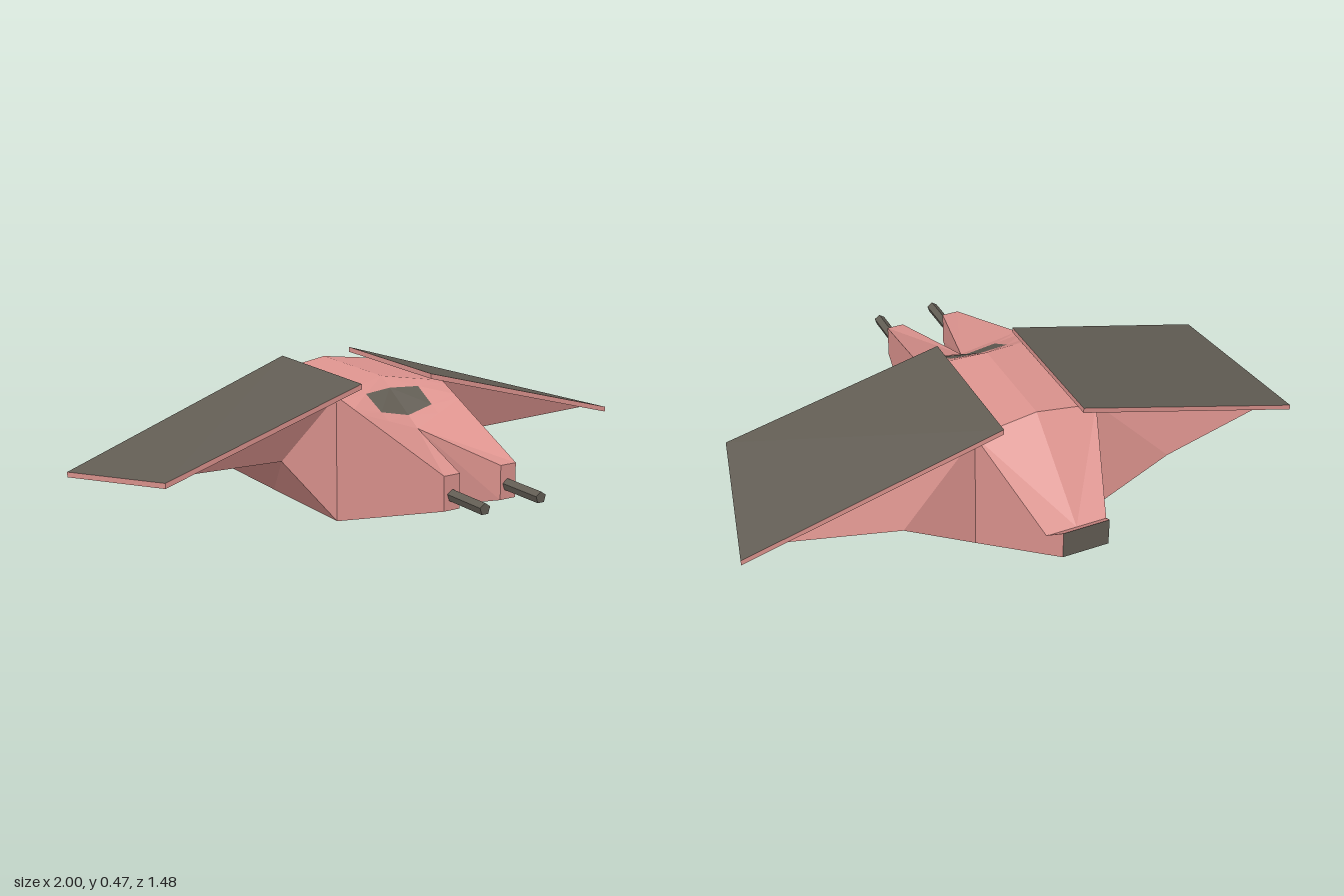
import * as THREE from 'three';

const pink = new THREE.MeshStandardMaterial({ color: 0xdc938e, flatShading: true, side: THREE.DoubleSide });
const dark = new THREE.MeshStandardMaterial({ color: 0x625d54, flatShading: true, side: THREE.DoubleSide });

// Flat-faced mesh from polygons (fanned from their first corner); side -1 mirrors in x.
function facets(name, polygons, material, side = 1) {
  const pos = [];
  for (const poly of polygons) {
    for (let i = 1; i < poly.length - 1; i++) {
      const tri = side > 0 ? [poly[0], poly[i], poly[i + 1]] : [poly[0], poly[i + 1], poly[i]];
      for (const [x, y, z] of tri) pos.push(x * side, y, z);
    }
  }
  const geometry = new THREE.BufferGeometry();
  geometry.setAttribute('position', new THREE.Float32BufferAttribute(pos, 3));
  geometry.computeVertexNormals();
  const mesh = new THREE.Mesh(geometry, material);
  mesh.name = name;
  return mesh;
}

const mix = (p, q, t) => p.map((v, i) => v + (q[i] - v) * t);

// Hull corners of the +x half: front/rear, top/bottom, and on the centre line
const frontTop = [0.215, 0.435, 0.055], frontLow = [0.215, 0, 0.055];
const rearTop = [0.215, 0.435, -0.38], rearLow = [0.215, 0, -0.38];
const midFrontTop = [0, 0.467, 0], midFrontLow = [0, 0, 0.055];
const midRearTop = [0, 0.467, -0.38], midRearLow = [0, 0, -0.38];

// Prong corners
const noseLowIn = [0.08, 0.16, 0.57], noseLowOut = [0.14, 0.16, 0.57];
const noseTopIn = [0.08, 0.275, 0.57], noseTopOut = [0.14, 0.275, 0.57];
const crotch = [0, 0.33, 0.22];
const brow = mix(frontTop, noseTopOut, 0.233);

// Tail corners
const notchMid = [0, 0.215, -0.675], notchOut = [0.105, 0.215, -0.675];
const tailTopMid = [0, 0.265, -0.74], tailTop = [0.08, 0.265, -0.74];
const tailLowMid = [0, 0.17, -0.74], tailLow = [0.08, 0.17, -0.74];

// Wing corners
const kneeFront = [0.395, 0.225, 0], kneeRear = [0.48, 0.17, -0.415];
const tipFront = [0.82, 0.262, 0.08], tipRear = [0.9, 0.205, -0.34];

// One cell of the sloping cockpit face
function cockpitCell(u0, u1, v0, v1) {
  const at = (u, v) => mix(mix(midFrontTop, frontTop, u), mix(crotch, brow, u), v);
  return [at(u0, v0), at(u0, v1), at(u1, v1), at(u1, v0)];
}

function buildSide(side) {
  const group = new THREE.Group();
  group.name = side > 0 ? 'leftHalf' : 'rightHalf';
  const add = (name, polygons, material = pink) => group.add(facets(name, polygons, material, side));

  add('hull', [
    [midRearTop, midFrontTop, frontTop, rearTop],
    [midRearLow, rearLow, frontLow, midFrontLow],
  ]);

  add('prong', [
    [noseLowOut, frontLow, frontTop, noseTopOut],
    [midFrontLow, frontLow, noseLowOut, noseLowIn],
    [noseLowIn, noseTopIn, crotch, midFrontLow],
    [noseLowIn, noseLowOut, noseTopOut, noseTopIn],
    [crotch, noseTopIn, noseTopOut, brow],
  ]);

  // Cockpit slope framing the window
  add('cockpit', [
    cockpitCell(0, 0.5, 0, 0.23),
    cockpitCell(0, 0.5, 0.75, 1),
    cockpitCell(0.5, 1, 0, 0.23),
    cockpitCell(0.5, 1, 0.23, 0.75),
    cockpitCell(0.5, 1, 0.75, 1),
  ]);
  add('window', [cockpitCell(0, 0.5, 0.23, 0.75)], dark);

  add('tail', [
    [notchMid, midRearTop, rearTop, notchOut],
    [tailTopMid, notchMid, notchOut, tailTop],
    [rearLow, tailLow, tailTop, notchOut, rearTop],
    [tailLowMid, tailLow, rearLow, midRearLow],
  ]);
  add('exhaust', [[tailLowMid, tailTopMid, tailTop, tailLow]], dark);

  add('wing', [
    [frontTop, frontLow, kneeFront, tipFront],
    [rearLow, kneeRear, kneeFront, frontLow],
    [kneeRear, tipRear, tipFront, kneeFront],
    [rearTop, tipRear, kneeRear, rearLow],
    [rearTop, frontTop, tipFront, tipRear],
  ]);

  // Thin plate over the wing: dark top, hull-coloured rim and underside
  const top = [[0.14, 0.475, -0.435], [0.14, 0.475, 0.095], [0.885, 0.267, 0.143], [1, 0.195, -0.37]];
  const low = top.map(([x, y, z]) => [x, y - 0.018, z]);
  add('wingPanel', [top], dark);
  add('wingPanelRim', [
    [low[0], low[3], low[2], low[1]],
    ...top.map((p, i) => [p, low[i], low[(i + 1) % 4], top[(i + 1) % 4]]),
  ]);

  // Five-sided gun barrel
  const barrel = new THREE.CylinderGeometry(0.02, 0.02, 0.18, 5).rotateX(-Math.PI / 2);
  const gun = new THREE.Mesh(barrel, dark);
  gun.name = 'gunBarrel';
  gun.position.set(side * 0.108, 0.208, 0.65);
  group.add(gun);
  return group;
}

export function createModel() {
  const model = new THREE.Group();
  model.name = 'spacecraft';
  model.add(buildSide(1), buildSide(-1));
  return model;
}
